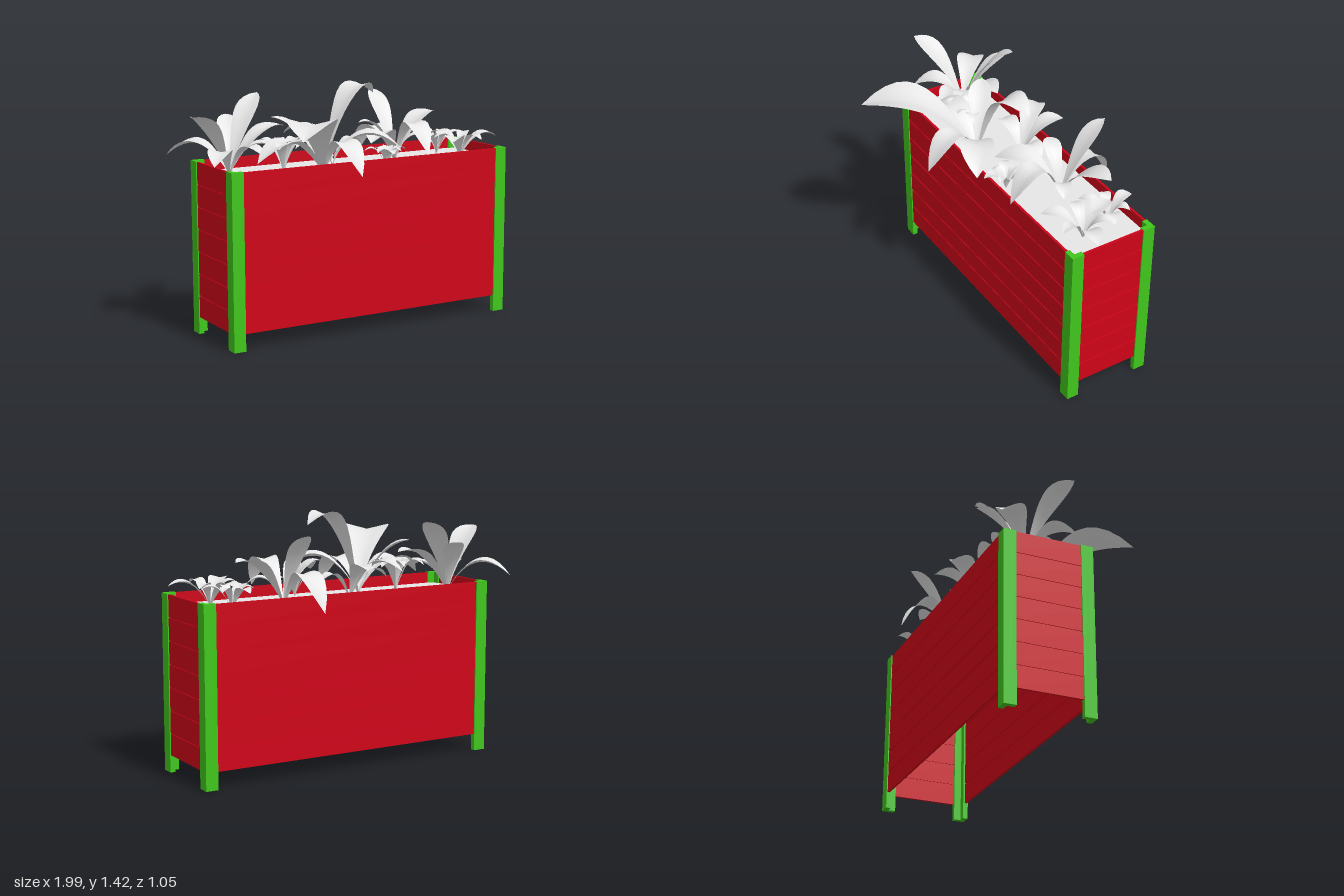
import * as THREE from 'three';

const X0 = -0.85, X1 = 0.965, Z0 = -0.387, Z1 = 0.138, SOIL = 0.93;
const CX = (X0 + X1) / 2, CZ = (Z0 + Z1) / 2;

const red = new THREE.MeshStandardMaterial({ name: 'plankRed', color: 0xcf0419 });
const green = new THREE.MeshStandardMaterial({ name: 'postGreen', color: 0x40c61c });
const grey = new THREE.MeshStandardMaterial({ name: 'paleGrey', color: 0xe6e6e6, side: THREE.DoubleSide });

function box(name, w, h, d, x, y, z, material) {
  const mesh = new THREE.Mesh(new THREE.BoxGeometry(w, h, d), material);
  mesh.name = name;
  mesh.position.set(x, y, z);
  return mesh;
}

// L-section corner post
function cornerPost(sx, sz) {
  const arm = 0.072, t = 0.03;
  const x = sx > 0 ? X1 : X0, z = sz > 0 ? Z1 : Z0;
  const post = new THREE.Group();
  post.name = 'cornerPost';
  post.add(box('postLongArm', arm, 1, t, x - sx * arm / 2, 0.5, z - sz * t / 2, green));
  post.add(box('postShortArm', t, 1, arm - t, x - sx * t / 2, 0.5, z - sz * (arm + t) / 2, green));
  return post;
}

// Arched leaf: narrow stalk, blade as wide as its reach asks, pointed tip, folded midrib
function leaf(bx, bz, x, y, z, rise) {
  const start = new THREE.Vector3(bx, SOIL, bz);
  const end = new THREE.Vector3(x, y, z);
  // drooping leaves bend further out
  const bend = 0.42 + 0.6 * Math.max(0, rise - y - 0.2);
  const mid = start.clone().lerp(end, bend).setY(rise);
  const curve = new THREE.QuadraticBezierCurve3(start, mid, end);
  const side = new THREE.Vector3(z - bz, 0, bx - x);
  const width = 0.01 + 0.39 * side.length();
  side.normalize();
  const geometry = new THREE.PlaneGeometry(1, 1, 4, 12);
  const p = geometry.attributes.position;
  for (let i = 0; i < p.count; i++) {
    const t = p.getY(i) + 0.5, u = p.getX(i) * 2;
    const half = width / 2 * (Math.pow(Math.abs(Math.sin(Math.PI * Math.pow(t, 1.6))), 0.85) + 0.1 * (1 - t));
    const v = curve.getPoint(t).addScaledVector(side, u * half);
    p.setXYZ(i, v.x, v.y + Math.abs(u) * half * 0.25, v.z);
  }
  geometry.computeVertexNormals();
  const mesh = new THREE.Mesh(geometry, grey);
  mesh.name = 'leaf';
  return mesh;
}

// Large plant; each leaf is given by its tip x, y, z and the height of its bend
function largePlant(bx, bz, ...leaves) {
  const plant = new THREE.Group();
  plant.name = 'largePlant';
  for (const tip of leaves) plant.add(leaf(bx, bz, ...tip));
  return plant;
}

// Small plant: leaves fanned evenly around the base, alternating long and short
function smallPlant(bx, bz, count, reach, height, turn) {
  const plant = new THREE.Group();
  plant.name = 'smallPlant';
  for (let i = 0; i < count; i++) {
    const a = turn + i / count * Math.PI * 2;
    const r = reach * (i % 2 ? 0.72 : 1);
    plant.add(leaf(bx, bz, bx + r * Math.cos(a), SOIL + height * 0.8, bz + r * Math.sin(a), SOIL + height * 1.3));
  }
  return plant;
}

export function createModel() {
  const model = new THREE.Group();
  model.name = 'planter';

  for (const sx of [-1, 1]) for (const sz of [-1, 1]) model.add(cornerPost(sx, sz));

  // Seven rows of planks on four sides; a tongue closes each narrow groove
  const rows = 7, bottom = 0.095, pitch = (1 - bottom) / rows, gap = 0.006, t = 0.014, inset = 0.006;
  for (const s of [-1, 1]) {
    const z = (s > 0 ? Z1 : Z0) - s * (inset + t / 2);
    const x = (s > 0 ? X1 : X0) - s * (inset + t / 2);
    const length = X1 - X0 - 0.03, depth = Z1 - Z0 - 0.03;
    for (let i = 0; i < rows; i++) {
      const y = bottom + pitch * (i + 0.5), h = pitch - gap;
      model.add(box('longPlank', length, h, t, CX, y, z, red));
      model.add(box('endPlank', t, h, depth, x, y, CZ, red));
      if (i > 0) {
        model.add(box('longTongue', length, gap, 0.004, CX, y - pitch / 2, z, red));
        model.add(box('endTongue', 0.004, gap, depth, x, y - pitch / 2, CZ, red));
      }
    }
  }

  // Soil surface; the box is open underneath
  model.add(box('soil', X1 - X0 - 0.04, 0.01, Z1 - Z0 - 0.04, CX, SOIL, CZ, grey));

  // Plants from one end to the other
  model.add(
    largePlant(-0.7, -0.2,
      [-1, 1.29, -0.04, 1.26], [-0.97, 1.03, -0.45, 1.22], [-0.6, 1.24, -0.44, 1.2], [-0.43, 1.36, -0.38, 1.28],
      [-0.34, 1.18, -0.22, 1.22], [-0.44, 1.05, -0.06, 1.2], [-0.9, 1.02, 0.03, 1.18], [-0.59, 1.05, 0.02, 1.18]),
    smallPlant(-0.42, -0.08, 7, 0.17, 0.2, 0.4),
    largePlant(-0.21, 0,
      [-0.62, 1.2, 0.52, 1.39], [-0.16, 0.95, 0.35, 1.3], [0.17, 1.06, 0.23, 1.28],
      [0.18, 1.35, -0.1, 1.56], [-0.65, 1.02, 0.05, 1.25], [-0.45, 1.24, -0.18, 1.22]),
    largePlant(-0.04, -0.19,
      [-0.23, 1.1, -0.44, 1.25], [0, 1.12, -0.45, 1.2], [0.16, 1.04, -0.2, 1.15], [-0.28, 1.04, -0.2, 1.18]),
    largePlant(0.38, -0.18,
      [0.32, 0.92, -0.53, 1.3], [0.38, 1.33, -0.46, 1.25], [0.72, 1.19, -0.27, 1.22], [0.56, 1.04, -0.08, 1.15],
      [0.4, 1, 0.16, 1.36], [0.07, 1.08, 0.06, 1.22], [0.16, 1.16, -0.23, 1.2]),
    smallPlant(0.18, 0.05, 7, 0.13, 0.12, 0),
    smallPlant(0.77, -0.06, 6, 0.23, 0.15, 0.26),
    smallPlant(0.73, -0.25, 6, 0.17, 0.14, -1.7),
  );
  return model;
}
